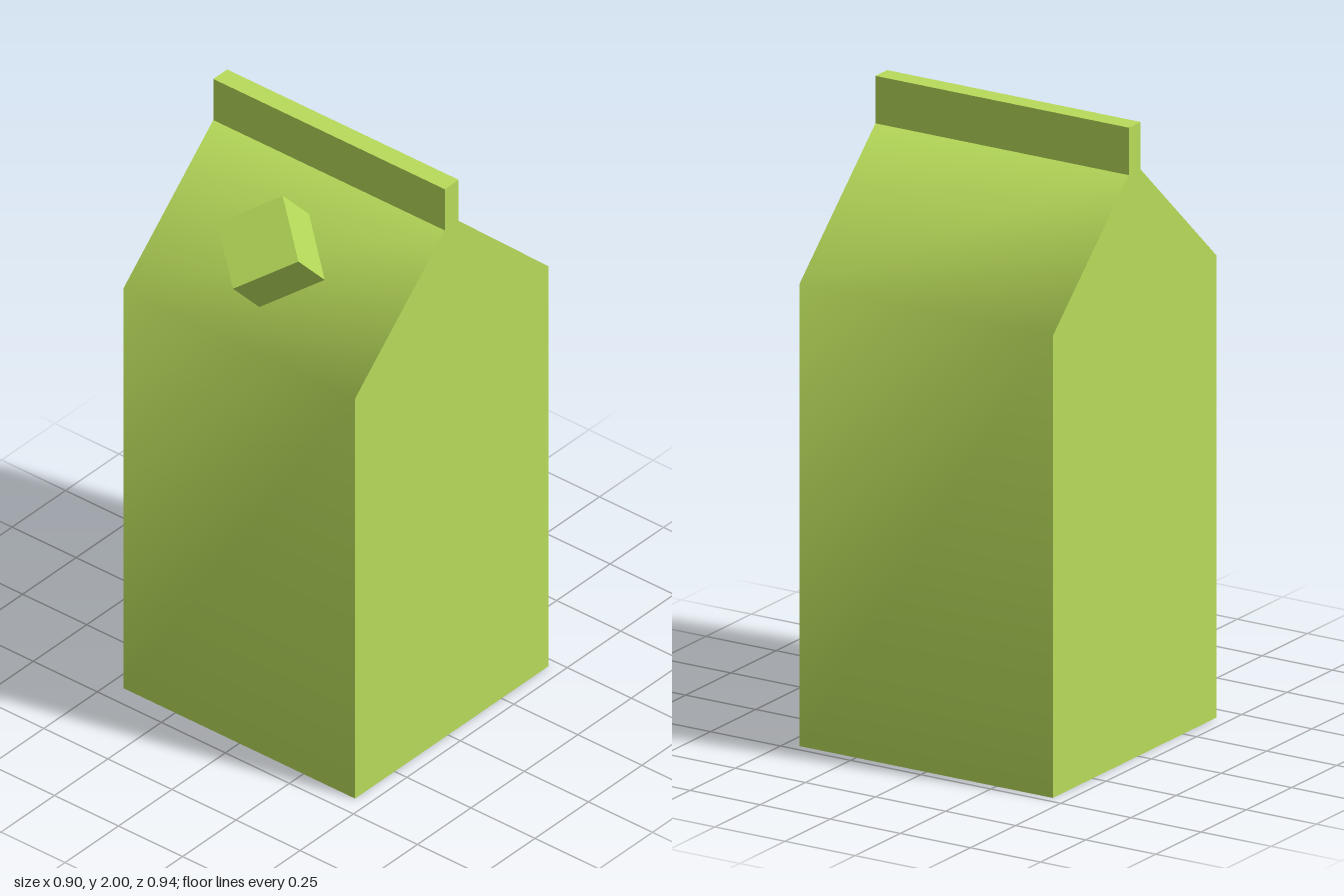
import * as THREE from 'three';
import { toCreasedNormals } from 'three/addons/utils/BufferGeometryUtils.js';

const WIDTH = 0.904;

export function createModel() {
  const group = new THREE.Group();
  group.name = 'carton';
  const material = new THREE.MeshStandardMaterial({ color: 0xb8db5a });

  const add = (name, geometry) => {
    const mesh = new THREE.Mesh(geometry, material);
    mesh.name = name;
    group.add(mesh);
    return mesh;
  };

  // Gabled body: side profile (z, y) extruded across the width, soft shoulders
  const profile = new THREE.Shape([
    [-0.47, 0], [0.435, 0], [0.435, 1.46], [0.015, 1.85], [-0.05, 1.85], [-0.47, 1.46],
  ].map(([z, y]) => new THREE.Vector2(z, y)));
  const body = new THREE.ExtrudeGeometry(profile, { depth: WIDTH, bevelEnabled: false });
  body.translate(0, 0, -WIDTH / 2).rotateY(-Math.PI / 2);
  add('body', toCreasedNormals(body, 1.0));

  // Sealed fin along the ridge
  add('topFin', new THREE.BoxGeometry(WIDTH, 0.15, 0.065)).position.set(0, 1.925, -0.0175);

  // Cube spout, set diagonally into the front slope
  const spout = add('spout', new THREE.BoxGeometry(0.224, 0.222, 0.224));
  spout.position.set(0.002, 1.704, 0.275);
  spout.rotation.set(Math.atan2(0.39, 0.42), Math.PI / 4, 0);

  return group;
}
